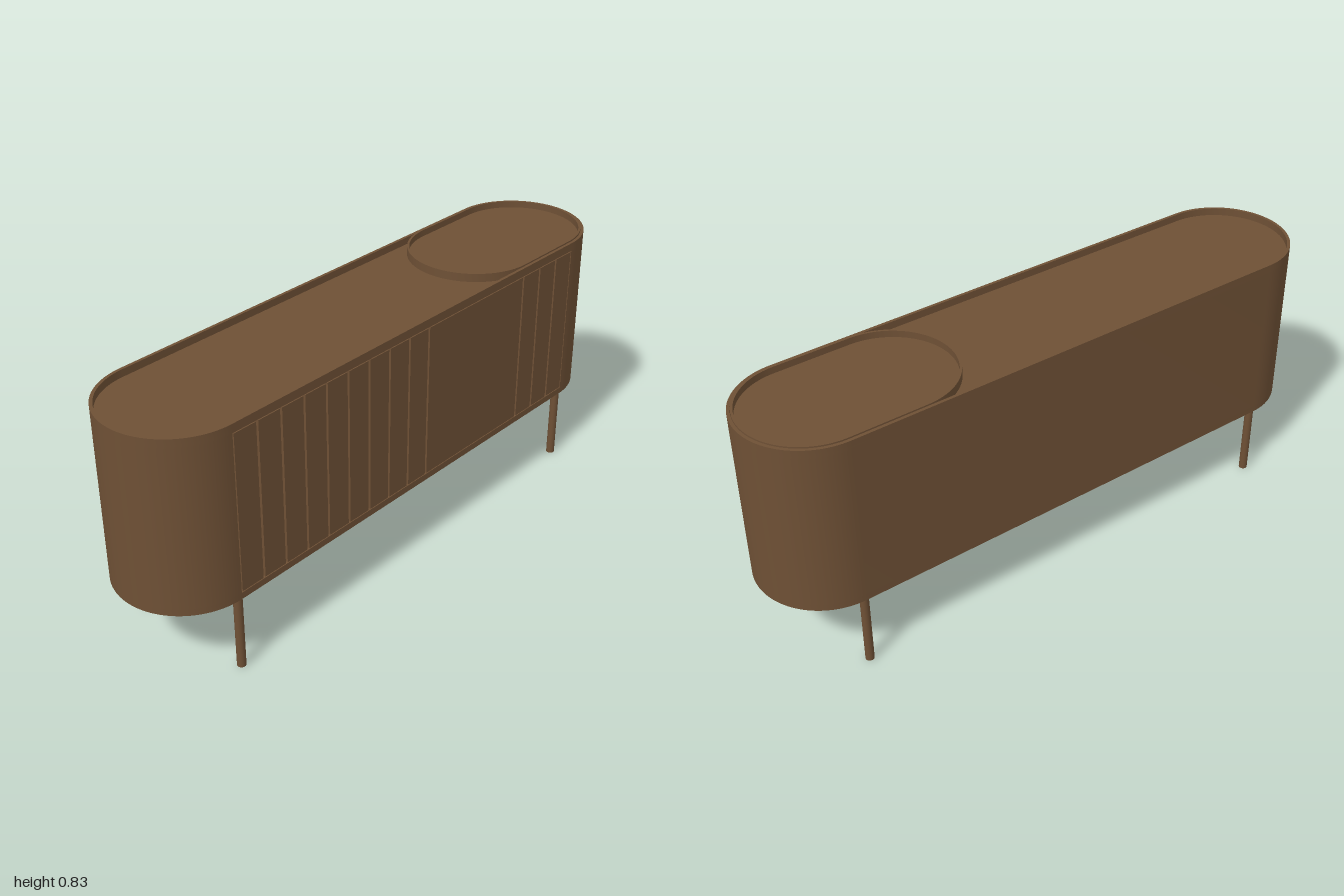
import * as THREE from 'three';
import { toCreasedNormals } from 'three/addons/utils/BufferGeometryUtils.js';

const wood = new THREE.MeshStandardMaterial({ color: 0x6e5035 });
wood.name = 'walnut';

const END = 0.775;   // centre of the rounded ends
const R = 0.225;     // radius of the rounded ends
const FLOOR = 0.25, TOP = 0.823;

// Stadium outline between two end centres; notch cuts back the straight front edge
function stadium(x0, x1, r, notch = 0, Type = THREE.Shape) {
  const s = new Type();
  s.absarc(x1, 0, r, -Math.PI / 2, Math.PI / 2, false);
  s.absarc(x0, 0, r, Math.PI / 2, Math.PI * 1.5, false);
  if (notch) {
    s.lineTo(x0, -r + notch);
    s.lineTo(x1, -r + notch);
  }
  s.closePath();
  return s;
}

// Upright prism of an outline, from y0 to y1
function prism(name, shape, y0, y1) {
  let geo = new THREE.ExtrudeGeometry(shape, { depth: y1 - y0, bevelEnabled: false, curveSegments: 28 });
  geo.rotateX(-Math.PI / 2);
  geo = toCreasedNormals(geo, 0.5);
  const mesh = new THREE.Mesh(geo, wood);
  mesh.name = name;
  mesh.position.y = y0;
  return mesh;
}

function ring(name, x0, x1, r, wall, y0, y1) {
  const shape = stadium(x0, x1, r);
  shape.holes.push(stadium(x0, x1, r - wall, 0, THREE.Path));
  return prism(name, shape, y0, y1);
}

export function createModel() {
  const model = new THREE.Group();
  model.name = 'sideboard';

  // Cabinet: base, body with a shallow front bay, recessed top and rim
  const bayLow = 0.272, bayHigh = 0.795, bayDepth = 0.015;
  model.add(prism('base', stadium(-END, END, R), FLOOR, bayLow));
  model.add(prism('body', stadium(-END, END, R, bayDepth), bayLow, bayHigh));
  model.add(prism('top', stadium(-END, END, R), bayHigh, 0.799));
  model.add(ring('rim', -END, END, R, 0.01, 0.799, TOP));

  // Front slats, nine on the left, a wide plain panel, three on the right
  const slats = new THREE.Group();
  slats.name = 'frontSlats';
  const pitch = 0.0895, gap = 0.008;
  const seams = [];
  for (let i = 0; i <= 9; i++) seams.push(-END + i * pitch);
  for (let i = 3; i >= 0; i--) seams.push(END - i * pitch);
  for (let i = 0; i < seams.length - 1; i++) {
    const w = seams[i + 1] - seams[i] - gap;
    const slat = new THREE.Mesh(
      new THREE.BoxGeometry(w, bayHigh - bayLow - 0.006, bayDepth), wood);
    slat.name = i === 9 ? 'plainPanel' : 'slat';
    slat.position.set((seams[i] + seams[i + 1]) / 2, (bayLow + bayHigh) / 2, R - bayDepth / 2);
    slats.add(slat);
  }
  model.add(slats);

  // Tray resting in the top at the left end
  const tray = new THREE.Group();
  tray.name = 'tray';
  tray.add(prism('trayFloor', stadium(0.525, END, 0.213), 0.799, 0.805));
  tray.add(ring('trayRim', 0.525, END, 0.214, 0.007, 0.799, 0.827));
  model.add(tray);

  // Four slim legs
  for (const x of [-END, END]) {
    for (const z of [-0.206, 0.206]) {
      const leg = new THREE.Mesh(new THREE.CylinderGeometry(0.014, 0.014, FLOOR, 20), wood);
      leg.name = 'leg';
      leg.position.set(x, FLOOR / 2, z);
      model.add(leg);
    }
  }
  return model;
}
